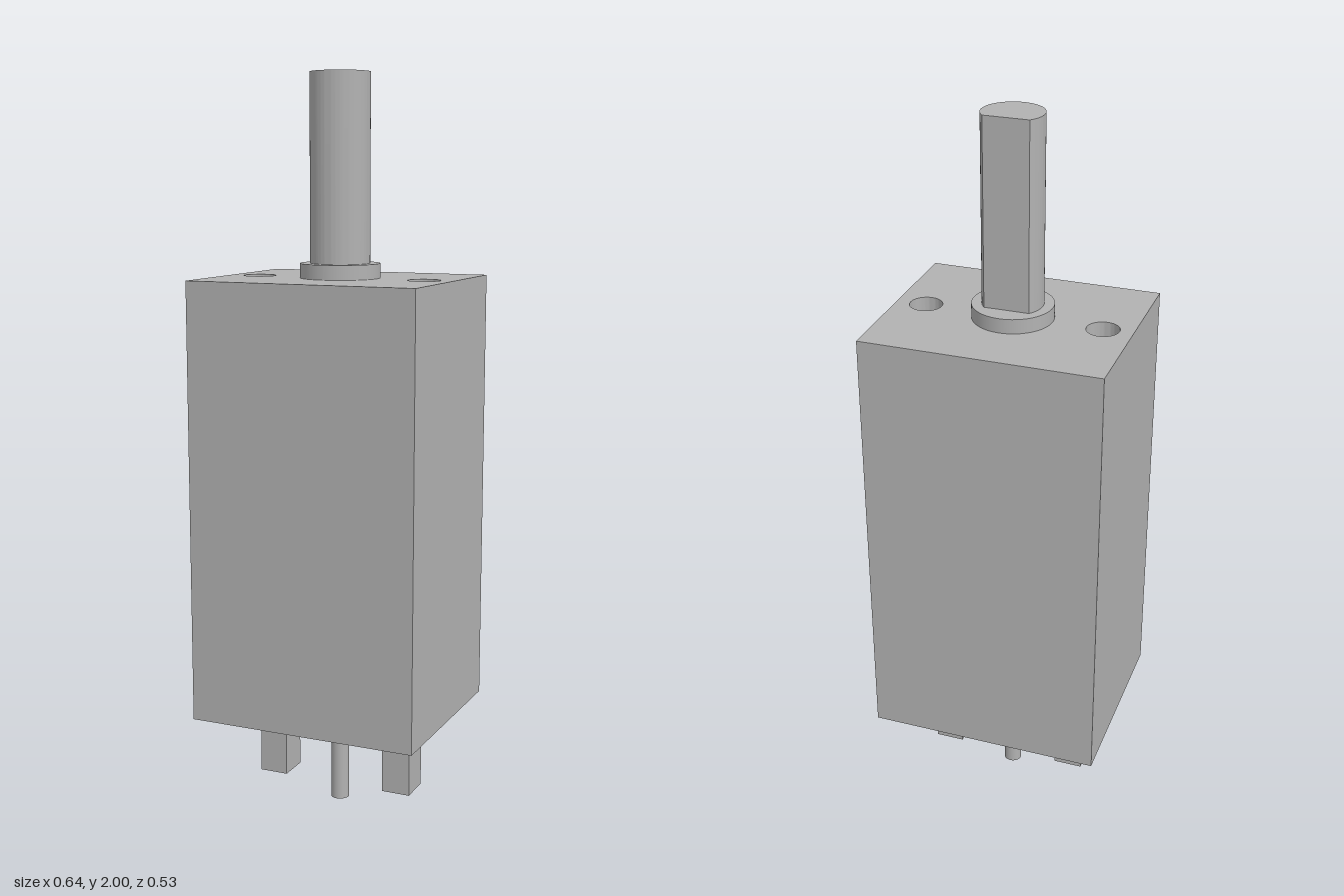
import * as THREE from 'three';
import { mergeGeometries, toCreasedNormals } from 'three/addons/utils/BufferGeometryUtils.js';

export function createModel() {
  const group = new THREE.Group();
  const metal = new THREE.MeshStandardMaterial({ color: 0xb2b2b2 });
  metal.name = 'grey metal';

  const add = (name, geometry, x = 0, y = 0, z = 0) => {
    const mesh = new THREE.Mesh(geometry, metal);
    mesh.name = name;
    mesh.position.set(x, y, z);
    group.add(mesh);
  };

  const W = 0.64, D = 0.534, bottom = 0.27, top = 1.466;
  const holeX = 0.24, holeR = 0.0435, holeDepth = 0.2;

  // Body: box without its top face, closed by a plate with two screw holes
  const shell = new THREE.BoxGeometry(W, top - bottom, D);
  const index = Array.from(shell.index.array);
  index.splice(12, 6);
  shell.setIndex(index);
  shell.clearGroups();
  shell.translate(0, (top + bottom) / 2, 0);

  const plate = new THREE.Shape([
    new THREE.Vector2(-W / 2, -D / 2), new THREE.Vector2(W / 2, -D / 2),
    new THREE.Vector2(W / 2, D / 2), new THREE.Vector2(-W / 2, D / 2),
  ]);
  for (const s of [-1, 1]) {
    plate.holes.push(new THREE.Path().absarc(s * holeX, 0, holeR, 0, Math.PI * 2, true));
  }
  const lid = new THREE.ShapeGeometry(plate, 24);
  lid.rotateX(-Math.PI / 2).translate(0, top, 0);
  add('body', mergeGeometries([shell, lid]));

  // Blind screw holes: profile runs downward so the walls face inward
  const cup = toCreasedNormals(new THREE.LatheGeometry([
    new THREE.Vector2(holeR, 0),
    new THREE.Vector2(holeR, -holeDepth),
    new THREE.Vector2(0, -holeDepth),
  ], 48), 0.6);
  add('leftScrewHole', cup, holeX, top);
  add('rightScrewHole', cup, -holeX, top);

  // Collar around the shaft
  add('collar', new THREE.CylinderGeometry(0.107, 0.107, 0.039, 64), 0, top + 0.0195);

  // D-shaped shaft with its flat toward the back
  const r = 0.08, a = Math.asin(0.053 / r);
  const section = new THREE.Shape();
  section.absarc(0, 0, r, Math.PI - a, Math.PI * 2 + a, false);
  section.closePath();
  const shaft = new THREE.ExtrudeGeometry(section, {
    depth: 2 - 1.505, bevelEnabled: false, curveSegments: 48,
  });
  shaft.rotateX(-Math.PI / 2);
  add('shaft', toCreasedNormals(shaft, 0.5), 0, 1.505);

  // Terminals and centre pin underneath
  const terminal = new THREE.BoxGeometry(0.08, bottom - 0.056, 0.09);
  add('leftTerminal', terminal, 0.187, (bottom + 0.056) / 2);
  add('rightTerminal', terminal, -0.187, (bottom + 0.056) / 2);
  add('centrePin', new THREE.CylinderGeometry(0.025, 0.025, bottom, 32), 0, bottom / 2);

  return group;
}
